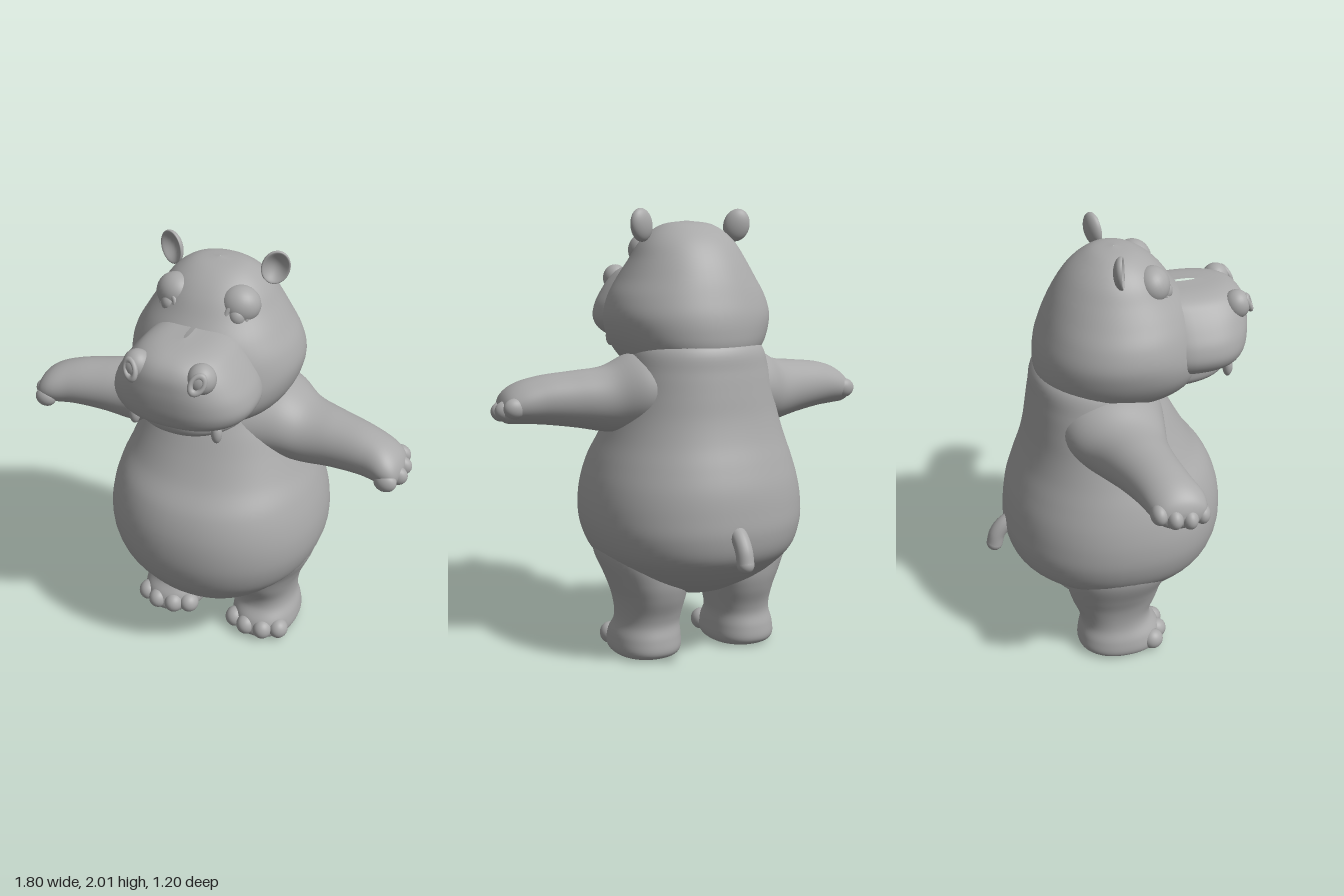
import * as THREE from 'three';
import { mergeVertices } from 'three/addons/utils/BufferGeometryUtils.js';

const skin = new THREE.MeshStandardMaterial({ color: 0xa9a9a9 });
skin.name = 'grey skin';

// Smooth skin over rounded sections [t, c1, c2, r1, r2] along y (c = x, z) or x (c = y, z)
function loft(rows, axis = 'y', n = 2, around = 56, steps = 6) {
  const count = (rows.length - 1) * steps;
  const pos = [], idx = [];
  const bulge = (v) => Math.sign(v) * Math.abs(v) ** (2 / n);
  for (let j = 0; j < around; j++) {
    const a = (j / around) * Math.PI * 2;
    const c = bulge(Math.cos(a)), s = bulge(Math.sin(a));
    const curve = new THREE.CatmullRomCurve3(rows.map(([t, c1, c2, r1, r2]) => axis === 'y'
      ? new THREE.Vector3(c1 + r1 * c, t, c2 + r2 * s)
      : new THREE.Vector3(t, c1 + r1 * s, c2 + r2 * c)));
    for (const p of curve.getPoints(count)) pos.push(p.x, p.y, p.z);
  }
  const row = count + 1;
  for (let j = 0; j < around; j++) {
    for (let i = 0; i < count; i++) {
      const p = j * row + i, q = ((j + 1) % around) * row + i;
      idx.push(p, p + 1, q, q, p + 1, q + 1);
    }
  }
  const g = new THREE.BufferGeometry();
  g.setAttribute('position', new THREE.Float32BufferAttribute(pos, 3));
  g.setIndex(idx);
  g.computeVertexNormals();
  return g;
}

// Sections given as [y, half width, front z, back z]
const upright = (rows, n) => loft(rows.map(([y, w, f, b]) => [y, 0, (f + b) / 2, w, (f - b) / 2]), 'y', n);

// Place a geometry: scale, turn, move
function place(g, at, size = [1, 1, 1], turn = [0, 0, 0]) {
  return g.applyMatrix4(new THREE.Matrix4().compose(
    new THREE.Vector3(...at),
    new THREE.Quaternion().setFromEuler(new THREE.Euler(...turn)),
    new THREE.Vector3(...size)));
}
const blob = (at, size, turn) => place(new THREE.SphereGeometry(1, 28, 20), at, size, turn);

function mirrored(g) {
  const m = g.clone().scale(-1, 1, 1);
  const ix = m.index.array;
  for (let i = 0; i < ix.length; i += 3) [ix[i], ix[i + 1]] = [ix[i + 1], ix[i]];
  return m;
}

// Cupped ear: a ball whose front half is pushed in behind a rounded rim
function earShape() {
  const ball = new THREE.SphereGeometry(1, 32, 32);
  ball.deleteAttribute('uv');
  ball.deleteAttribute('normal');
  const g = mergeVertices(ball);
  const p = g.attributes.position;
  for (let i = 0; i < p.count; i++) {
    const z = p.getZ(i);
    if (z > 0) p.setZ(i, 1.3 * z * (1 - 1.5 * z));
  }
  g.computeVertexNormals();
  return g;
}

export function createModel() {
  const model = new THREE.Group();
  model.name = 'hippo';
  const add = (name, g) => {
    const mesh = new THREE.Mesh(g, skin);
    mesh.name = name;
    model.add(mesh);
  };
  const pair = (name, g) => {
    add(name + 'Left', g);
    add(name + 'Right', mirrored(g));
  };

  // Pear-shaped body
  add('body', upright([
    [0.275, 0.02, 0.06, -0.06], [0.29, 0.16, 0.22, -0.2], [0.32, 0.25, 0.3, -0.26],
    [0.36, 0.33, 0.37, -0.33], [0.42, 0.4, 0.42, -0.41], [0.5, 0.465, 0.47, -0.48],
    [0.6, 0.5, 0.5, -0.505], [0.7, 0.505, 0.505, -0.5], [0.8, 0.49, 0.49, -0.485],
    [0.9, 0.46, 0.45, -0.455], [1, 0.42, 0.375, -0.42], [1.1, 0.385, 0.315, -0.395],
    [1.2, 0.355, 0.26, -0.38], [1.3, 0.325, 0.2, -0.365], [1.4, 0.29, 0.17, -0.345],
    [1.48, 0.2, 0.1, -0.25]], 2.15));

  // Head
  add('skull', upright([
    [1.27, 0.1, 0.14, -0.13], [1.29, 0.2, 0.26, -0.23], [1.33, 0.28, 0.35, -0.3],
    [1.4, 0.335, 0.4, -0.337], [1.47, 0.365, 0.4, -0.34], [1.54, 0.375, 0.38, -0.33],
    [1.62, 0.355, 0.36, -0.305], [1.7, 0.31, 0.33, -0.275], [1.78, 0.262, 0.272, -0.235],
    [1.85, 0.22, 0.22, -0.185], [1.9, 0.172, 0.165, -0.13], [1.935, 0.11, 0.1, -0.07],
    [1.95, 0.002, 0.02, 0.016]], 2.1));
  add('muzzle', upright([
    [1.405, 0.1, 0.44, 0.2], [1.415, 0.22, 0.52, 0.12], [1.45, 0.28, 0.572, 0.1],
    [1.5, 0.305, 0.592, 0.1], [1.56, 0.295, 0.6, 0.1], [1.62, 0.262, 0.6, 0.1],
    [1.68, 0.218, 0.59, 0.1], [1.72, 0.178, 0.562, 0.1], [1.745, 0.12, 0.51, 0.12],
    [1.755, 0.01, 0.38, 0.26]], 2.4));
  add('lowerJaw', upright([
    [1.32, 0.02, 0.28, 0.2], [1.33, 0.14, 0.42, 0.08], [1.35, 0.2, 0.48, 0],
    [1.385, 0.24, 0.518, 0], [1.44, 0.25, 0.53, 0]], 2.2));
  pair('tooth', blob([0.185, 1.405, 0.485], [0.023, 0.045, 0.022]));

  // Nostrils, eyes and ears
  pair('nostrilMound', blob([0.14, 1.68, 0.525], [0.06, 0.065, 0.06]));
  pair('nostrilRim', place(new THREE.TorusGeometry(0.03, 0.012, 14, 32),
    [0.145, 1.685, 0.578], [0.85, 1.25, 1], [-0.35, 0.3, -0.4]));
  pair('brow', blob([0.145, 1.82, 0.145], [0.085, 0.08, 0.075], [-0.3, 0.3, 0]));
  pair('eye', blob([0.15, 1.79, 0.192], [0.038, 0.044, 0.04]));
  pair('eyelid', place(new THREE.TorusGeometry(0.042, 0.011, 14, 36),
    [0.151, 1.791, 0.205], [1, 1.1, 1], [-0.2, 0.45, 0]));
  pair('ear', place(earShape(), [0.235, 1.93, -0.012], [0.06, 0.074, 0.034], [-0.05, 0.35, -0.25]));

  // Outstretched arms with four stubby fingers
  pair('arm', loft([
    [0.12, 1.2, -0.05, 0.2, 0.26], [0.3, 1.2, -0.045, 0.175, 0.215], [0.42, 1.175, -0.015, 0.145, 0.165],
    [0.55, 1.178, 0.012, 0.125, 0.137], [0.7, 1.178, 0.045, 0.106, 0.122], [0.8, 1.165, 0.07, 0.088, 0.12],
    [0.85, 1.15, 0.075, 0.066, 0.1], [0.872, 1.145, 0.075, 0.03, 0.05], [0.876, 1.145, 0.075, 0.001, 0.001]], 'x'));
  for (const [x, y, z] of [[0.82, 1.125, 0.165], [0.85, 1.13, 0.105], [0.85, 1.14, 0.042], [0.828, 1.155, -0.015]]) {
    pair('finger', blob([x, y, z], [0.05, 0.045, 0.036]));
  }

  // Legs with flat soles and toes
  pair('leg', loft([
    [0.004, 0.24, -0.01, 0.001, 0.001], [0.004, 0.24, -0.01, 0.14, 0.18], [0.03, 0.24, -0.017, 0.159, 0.2],
    [0.09, 0.238, -0.022, 0.157, 0.193], [0.15, 0.232, -0.035, 0.144, 0.168], [0.2, 0.227, -0.04, 0.147, 0.172],
    [0.28, 0.225, -0.04, 0.162, 0.203], [0.36, 0.231, -0.04, 0.185, 0.222], [0.48, 0.26, -0.02, 0.2, 0.24],
    [0.6, 0.28, 0, 0.18, 0.2]], 'y', 2.2));
  for (const [x, z] of [[0.125, 0.125], [0.195, 0.155], [0.28, 0.155], [0.35, 0.12]]) {
    pair('toe', blob([x, 0.052, z], [0.047, 0.05, 0.05]));
  }

  // Short drooping tail
  const path = new THREE.CatmullRomCurve3([[0.64, -0.45], [0.605, -0.51], [0.56, -0.545], [0.505, -0.56]]
    .map(([y, z]) => new THREE.Vector3(0, y, z)));
  add('tail', new THREE.TubeGeometry(path, 20, 0.038, 20));
  add('tailTip', blob([0, 0.505, -0.56], [0.038, 0.038, 0.038]));

  return model;
}
